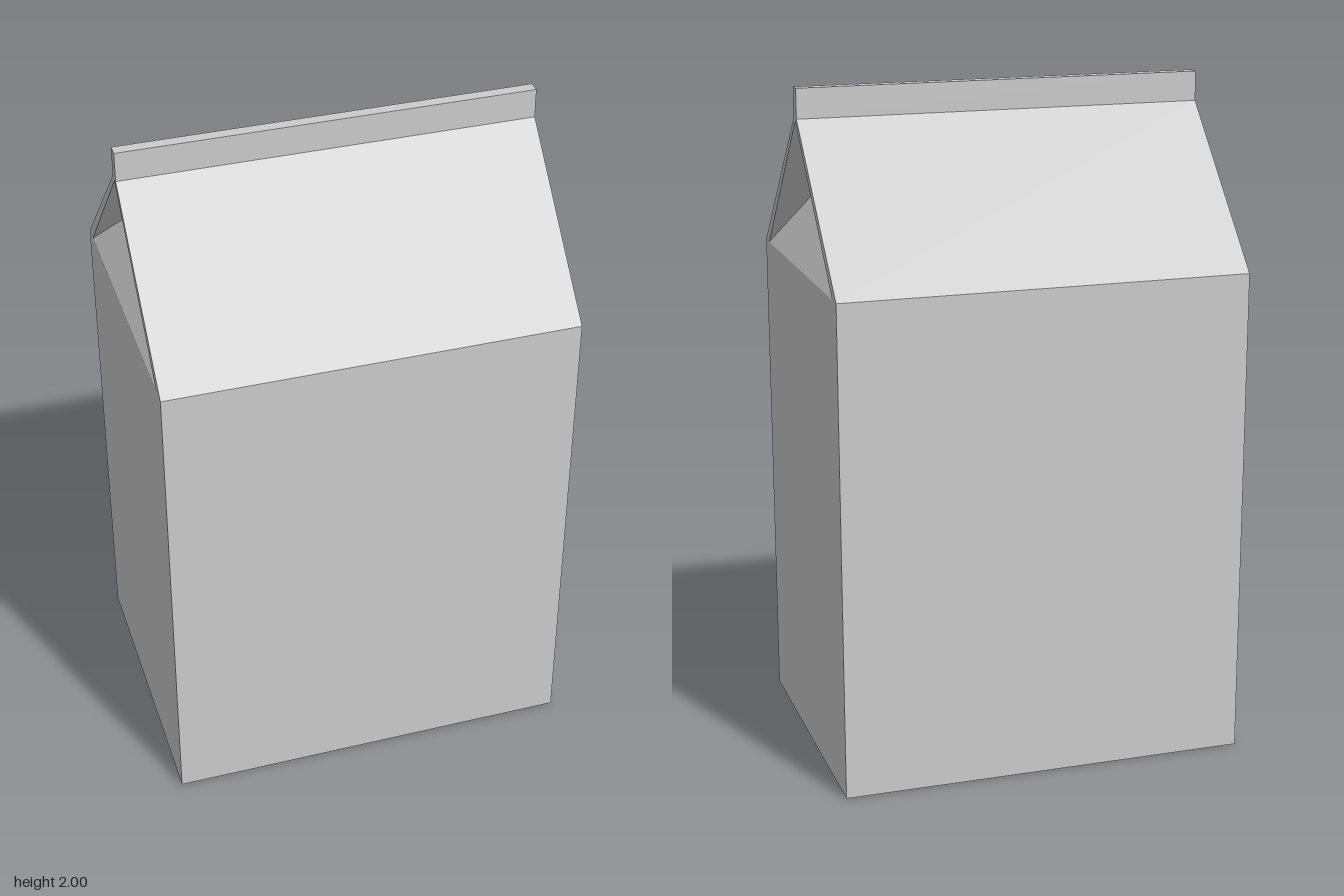
import * as THREE from 'three';

const HALF_W = 0.611, HALF_D = 0.452; // carton half width and half depth
const SHOULDER = 1.473, RIDGE = 1.912, TOP = 2; // heights
const SEAL = 0.018; // half thickness of the top seal
const INNER_D = 0.407, INNER_TOP = 1.905; // inside of the roof panels
const TUCK = 0.26; // how far the gable apex folds inward

export function createModel() {
  const model = new THREE.Group();
  model.name = 'milkCarton';
  const material = new THREE.MeshStandardMaterial({ color: 0xcccccc, flatShading: true });

  const add = (name, geometry, mat = material) => {
    const mesh = new THREE.Mesh(geometry, mat);
    mesh.name = name;
    model.add(mesh);
    return mesh;
  };

  // Body
  add('body', new THREE.BoxGeometry(HALF_W * 2, SHOULDER, HALF_D * 2)).position.y = SHOULDER / 2;

  // Roof: two sloping panels as one chevron section, run along the width
  const section = new THREE.Shape([
    [HALF_D, SHOULDER], [SEAL, RIDGE], [-SEAL, RIDGE], [-HALF_D, SHOULDER],
    [-INNER_D, SHOULDER], [0, INNER_TOP], [INNER_D, SHOULDER],
  ].map(([z, y]) => new THREE.Vector2(z, y)));
  const roof = new THREE.ExtrudeGeometry(section, { depth: HALF_W * 2, bevelEnabled: false });
  roof.translate(0, 0, -HALF_W).rotateY(Math.PI / 2);
  add('roof', roof);

  // Seal standing on the ridge
  add('topSeal', new THREE.BoxGeometry(HALF_W * 2, TOP - RIDGE, SEAL * 2)).position.y = (TOP + RIDGE) / 2;

  // Gable panels folded inward at both ends
  const gableMaterial = material.clone();
  gableMaterial.side = THREE.DoubleSide;
  for (const [name, s] of [['leftGable', 1], ['rightGable', -1]]) {
    const gable = new THREE.BufferGeometry().setFromPoints([
      new THREE.Vector3(s * HALF_W, SHOULDER, s * INNER_D),
      new THREE.Vector3(s * HALF_W, SHOULDER, -s * INNER_D),
      new THREE.Vector3(s * (HALF_W - TUCK), INNER_TOP, 0),
    ]);
    gable.computeVertexNormals();
    add(name, gable, gableMaterial);
  }

  return model;
}
